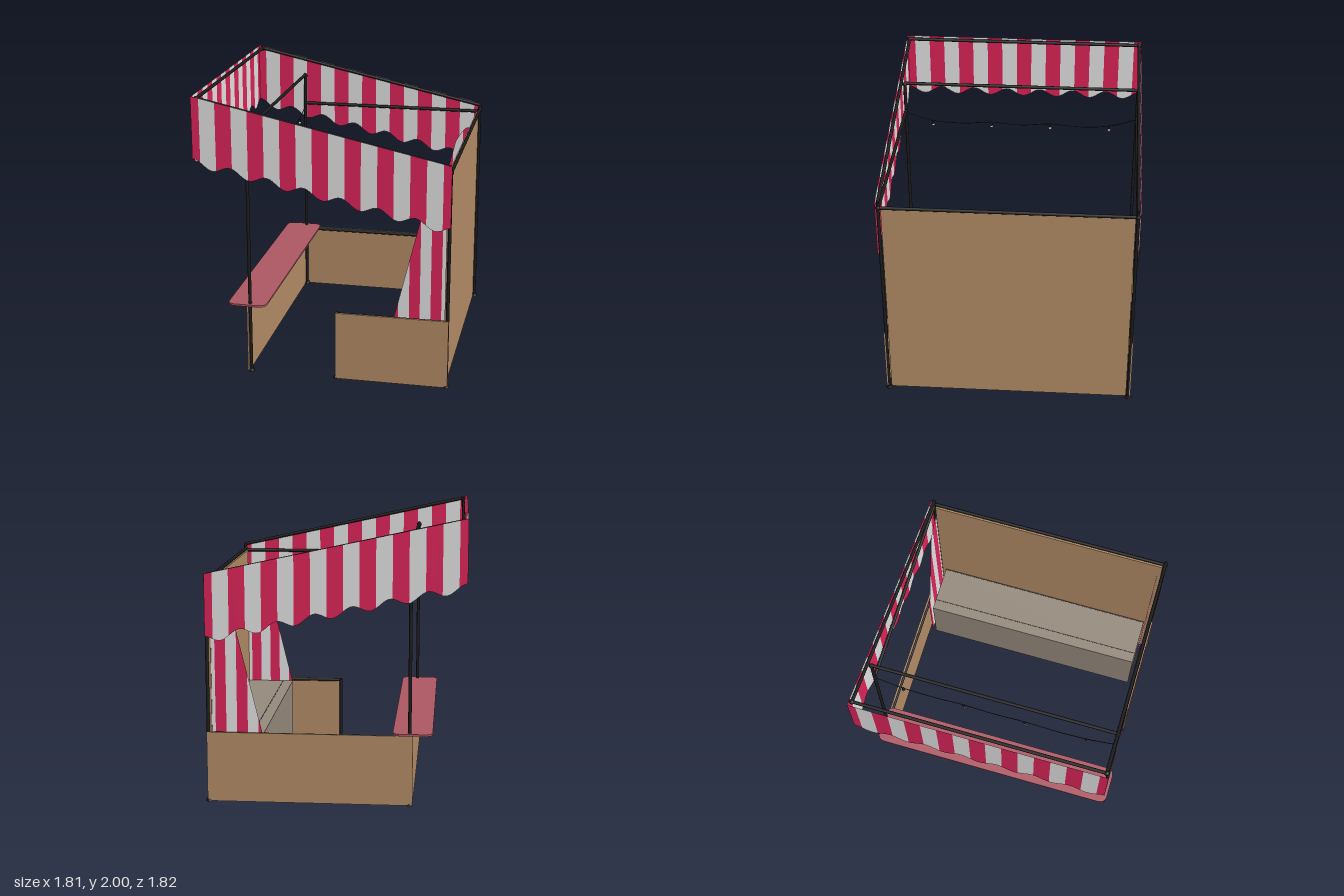
import * as THREE from 'three';
import { mergeGeometries } from 'three/addons/utils/BufferGeometryUtils.js';

const mat = (name, color, side = THREE.FrontSide) => {
  const m = new THREE.MeshStandardMaterial({ color, side });
  m.name = name;
  return m;
};

export function createModel() {
  const red = mat('crimson cloth', 0xdc2459, THREE.DoubleSide);
  const white = mat('white cloth', 0xe2e2e2, THREE.DoubleSide);
  const wood = mat('tan board', 0xb38c66);
  const black = mat('black metal', 0x1b1b1b);
  const counterMat = mat('rose counter', 0xae5864);
  const benchMat = mat('grey brown bench', 0x968a7d);
  const grooveMat = mat('dark groove', 0x4a443e);
  const bulbMat = mat('bulb glass', 0xd8d8d0);

  const model = new THREE.Group();
  model.name = 'marketStall';

  const add = (name, geometry, material, x = 0, y = 0, z = 0, parent = model) => {
    const mesh = new THREE.Mesh(geometry, material);
    mesh.name = name;
    mesh.position.set(x, y, z);
    parent.add(mesh);
    return mesh;
  };
  const box = (name, material, x0, x1, y0, y1, z0, z1) =>
    add(name, new THREE.BoxGeometry(x1 - x0, y1 - y0, z1 - z0), material,
      (x0 + x1) / 2, (y0 + y1) / 2, (z0 + z1) / 2);

  // Round bar between two points
  const bar = (name, a, b, r = 0.012) => {
    const p = new THREE.Vector3(...a), q = new THREE.Vector3(...b);
    const dir = q.clone().sub(p);
    const mesh = add(name, new THREE.CylinderGeometry(r, r, dir.length(), 12), black);
    mesh.position.copy(p).add(q).multiplyScalar(0.5);
    mesh.quaternion.setFromUnitVectors(new THREE.Vector3(0, 1, 0), dir.normalize());
  };

  // Striped cloth in the XY plane, cut at the given edges, first stripe red
  const cloth = (name, edges, top, bottom) => {
    const group = new THREE.Group();
    group.name = name;
    const parts = [[], []];
    for (let i = 0; i < edges.length - 1; i++) {
      const pts = [], n = 8;
      const xAt = (k) => edges[i] + (edges[i + 1] - edges[i]) * k / n;
      for (let k = 0; k <= n; k++) pts.push(new THREE.Vector2(xAt(k), bottom(xAt(k))));
      for (let k = n; k >= 0; k--) pts.push(new THREE.Vector2(xAt(k), top(xAt(k))));
      parts[i % 2].push(new THREE.ShapeGeometry(new THREE.Shape(pts)));
    }
    add('redStripes', mergeGeometries(parts[0]), red, 0, 0, 0, group);
    add('whiteStripes', mergeGeometries(parts[1]), white, 0, 0, 0, group);
    model.add(group);
    return group;
  };
  // Eight stripe pairs with half a red stripe at each end
  const stripeEdges = (a, b) => {
    const w = (b - a) / 16, edges = [a];
    for (let i = 0; i < 16; i++) edges.push(a + w * (i + 0.5));
    return [...edges, b];
  };

  // Scalloped valances on three sides
  const roofY = (x) => 1.803 - 0.218 * x;
  const scallop = (x) => 0.027 * Math.cos((x + 0.51) * 2 * Math.PI / 0.257);
  for (const s of [1, -1]) {
    cloth('sideValance', stripeEdges(-0.905, 0.885), roofY,
      (x) => 1.343 - 0.213 * x - scallop(x)).position.z = s * 0.895;
  }
  const leftValance = cloth('endValance', stripeEdges(-0.895, 0.895), () => 1.995,
    (x) => 1.535 - scallop(x));
  leftValance.rotation.y = -Math.PI / 2;
  leftValance.position.x = -0.905;

  // Curtains drawn back beside the wall
  const curtainTop = (x) => {
    const line = 0.5 + 4.12 * (x - 0.5);
    return x < 0.695 ? line : 1.3 + 0.12 * Math.sin(Math.min(1, (x - 0.695) / 0.1) * Math.PI / 2);
  };
  for (const z of [0.835, -0.86]) {
    cloth('curtain', [0.495, 0.525, 0.6, 0.675, 0.75, 0.825, 0.85], curtainTop,
      () => 0.005).position.z = z;
  }

  // Boards: tall wall and low panels
  box('tallWall', wood, 0.852, 0.866, 0.002, 1.55, -0.86, 0.86);
  box('backPanel', wood, -0.545, 0.885, 0.004, 0.5, -0.892, -0.88);
  box('frontPanel', wood, 0.09, 0.885, 0.004, 0.5, 0.88, 0.892);
  box('counterPanel', wood, -0.547, -0.535, 0.004, 0.5, -0.89, 0.89);

  // Posts, feet and frame
  const P = 0.875, X = -0.525;
  for (const s of [1, -1]) {
    const z = s * P;
    bar('cornerPost', [P, 0, z], [P, 1.6, z]);
    bar('counterPost', [X, 0, z], [X, 1.78, z]);
    bar('levelRail', [X, 1.55, z], [P, 1.55, z]);
    bar('slopingRail', [-0.87, 1.982, z], [P, 1.6, z]);
    bar('panelRail', [s > 0 ? 0.1 : X, 0.488, z], [P, 0.488, z]);
    for (const [x, r] of [[P, 0.026], [X, 0.024]])
      add('foot', new THREE.CylinderGeometry(r * 0.7, r, 0.02, 16), black, x, 0.01, z);
    for (const [x, y] of [[P, 1.56], [X, 1.77], [-0.87, 1.98]])
      add('joint', new THREE.SphereGeometry(0.018, 12, 8), black, x, y, z);
  }
  bar('gatePost', [0.1, 0, 0.868], [0.1, 0.5, 0.868]);
  add('gateFoot', new THREE.CylinderGeometry(0.02, 0.028, 0.02, 16), black, 0.1, 0.01, 0.868);
  bar('highRail', [-0.87, 1.982, -P], [-0.87, 1.982, P]);
  bar('middleRail', [X, 1.78, -P], [X, 1.78, P]);
  bar('wallRail', [P, 1.56, -P], [P, 1.56, P]);
  bar('counterRail', [X, 0.488, -P], [X, 0.488, P]);

  // Counter top with rounded corners
  const w = 0.138, l = 0.908, r = 0.06;
  const c = new THREE.Shape();
  c.moveTo(-w + r, -l);
  c.lineTo(w - r, -l);
  c.quadraticCurveTo(w, -l, w, -l + r);
  c.lineTo(w, l - r);
  c.quadraticCurveTo(w, l, w - r, l);
  c.lineTo(-w + r, l);
  c.quadraticCurveTo(-w, l, -w, l - r);
  c.lineTo(-w, -l + r);
  c.quadraticCurveTo(-w, -l, -w + r, -l);
  const top = new THREE.ExtrudeGeometry(c, { depth: 0.014, bevelEnabled: false, curveSegments: 8 });
  add('counterTop', top.rotateX(-Math.PI / 2), counterMat, -0.545, 0.504, 0);

  // Storage bench along the wall
  box('bench', benchMat, 0.492, 0.85, 0.006, 0.485, -0.83, 0.82);
  box('benchGroove', grooveMat, 0.568, 0.574, 0.484, 0.487, -0.825, 0.815);
  box('benchBackGroove', grooveMat, 0.843, 0.85, 0.484, 0.487, -0.83, 0.82);

  // Sagging wire with hanging bulbs
  const bulbs = [-0.67, -0.223, 0.223, 0.67];
  const wire = [[-P, 1.53], [-0.67, 1.47], [-0.45, 1.455], [-0.223, 1.47], [0, 1.455],
    [0.223, 1.47], [0.45, 1.455], [0.67, 1.47], [P, 1.53]].map(([z, y]) => new THREE.Vector3(X, y, z));
  add('lightWire', new THREE.TubeGeometry(new THREE.CatmullRomCurve3(wire), 64, 0.003, 6), black);
  for (const z of bulbs) {
    add('bulbSocket', new THREE.CylinderGeometry(0.008, 0.01, 0.026, 10), black, X, 1.457, z);
    add('bulb', new THREE.SphereGeometry(0.012, 12, 8), bulbMat, X, 1.437, z);
  }
  return model;
}
